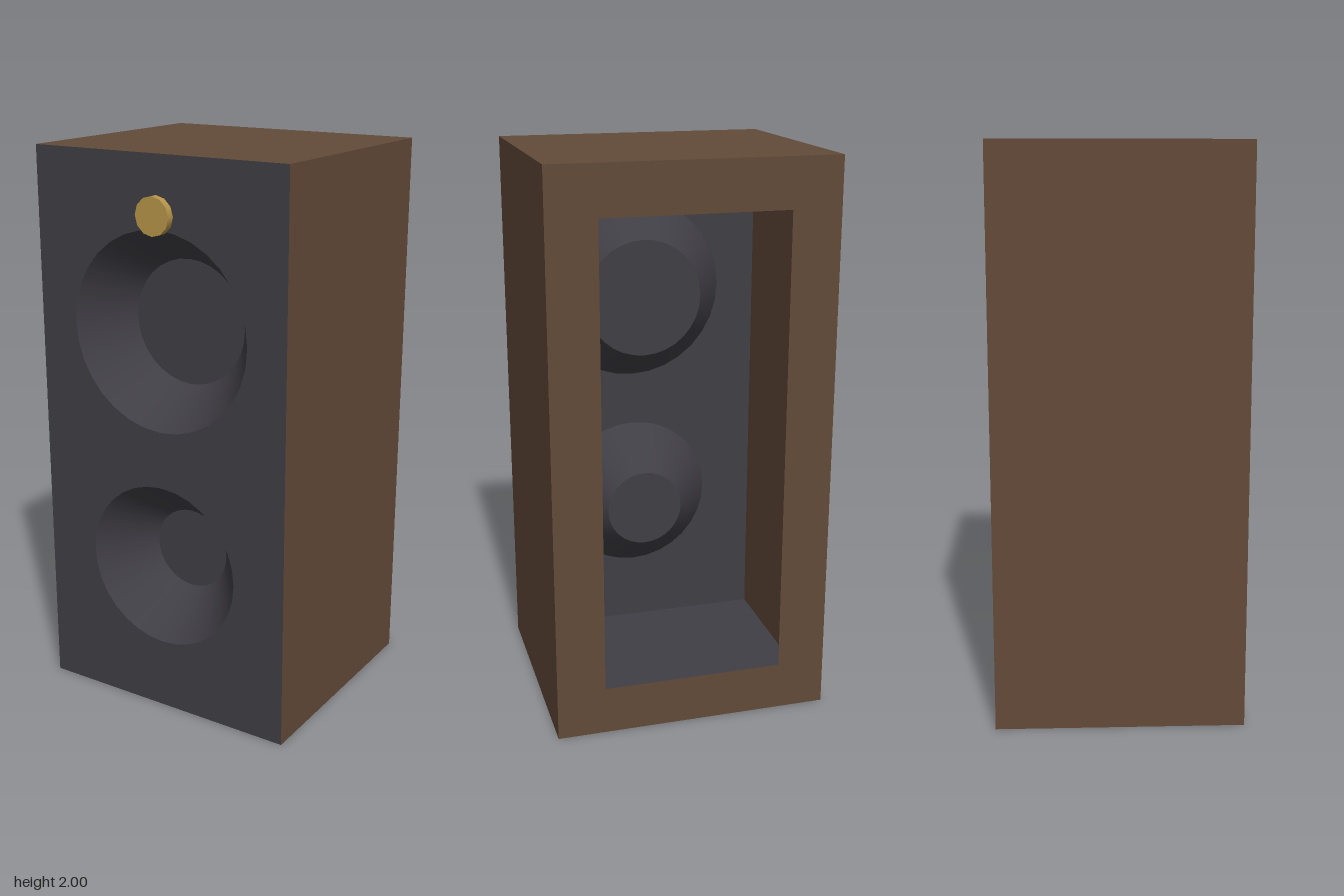
import * as THREE from 'three';

const W = 0.99, H = 2, BACK = -0.445, FRONT = 0.42;
const D = FRONT - BACK, MID = (FRONT + BACK) / 2;
const SEGMENTS = 32;

function makeMaterial(name, color) {
  const m = new THREE.MeshStandardMaterial({ color, side: THREE.DoubleSide });
  m.name = name;
  return m;
}

// Upright rectangle standing on y = 0, centred on x = 0
function panelShape() {
  return new THREE.Shape([
    new THREE.Vector2(-W / 2, 0), new THREE.Vector2(W / 2, 0),
    new THREE.Vector2(W / 2, H), new THREE.Vector2(-W / 2, H),
  ]);
}

export function createModel() {
  const group = new THREE.Group();
  group.name = 'speakerCabinet';
  const wood = makeMaterial('brown wood', 0x624a38);
  const dark = makeMaterial('dark grey', 0x403e45);
  const gold = makeMaterial('gold', 0xb8954a);

  const add = (name, geometry, material, x = 0, y = 0, z = 0) => {
    const mesh = new THREE.Mesh(geometry, material);
    mesh.name = name;
    mesh.position.set(x, y, z);
    group.add(mesh);
    return mesh;
  };

  // Thin cabinet walls
  add('leftWall', new THREE.PlaneGeometry(D, H).rotateY(Math.PI / 2), wood, W / 2, H / 2, MID);
  add('rightWall', new THREE.PlaneGeometry(D, H).rotateY(-Math.PI / 2), wood, -W / 2, H / 2, MID);
  add('topWall', new THREE.PlaneGeometry(W, D).rotateX(-Math.PI / 2), wood, 0, H, MID);
  add('bottomWall', new THREE.PlaneGeometry(W, D).rotateX(Math.PI / 2), dark, 0, 0, MID);

  // Flat frame round the open back
  const rim = 0.172;
  const frame = panelShape();
  frame.holes.push(new THREE.Path([
    new THREE.Vector2(-W / 2 + rim, rim), new THREE.Vector2(-W / 2 + rim, H - rim),
    new THREE.Vector2(W / 2 - rim, H - rim), new THREE.Vector2(W / 2 - rim, rim),
  ]));
  add('backFrame', new THREE.ShapeGeometry(frame).rotateY(Math.PI), wood, 0, 0, BACK);

  // Front panel with recessed cones
  const depth = 0.19;
  const front = panelShape();
  const drivers = [
    { name: 'upper', y: 1.406, outer: 0.348, inner: 0.222 },
    { name: 'lower', y: 0.556, outer: 0.298, inner: 0.148 },
  ];
  for (const { name, y, outer, inner } of drivers) {
    front.holes.push(new THREE.Path().absarc(0, y, outer, 0, Math.PI * 2, true));
    const cone = new THREE.CylinderGeometry(outer, inner, depth, SEGMENTS, 1, true).rotateX(Math.PI / 2);
    add(name + 'Cone', cone, dark, 0, y, FRONT - depth / 2);
    add(name + 'ConeCentre', new THREE.CircleGeometry(inner, SEGMENTS), dark, 0, y, FRONT - depth);
  }
  add('frontPanel', new THREE.ShapeGeometry(front, SEGMENTS / 2), dark, 0, 0, FRONT);

  // Small round knob above the upper cone
  const knob = new THREE.CylinderGeometry(0.066, 0.066, 0.027, 12).rotateX(Math.PI / 2);
  add('knob', knob, gold, 0, 1.802, FRONT + 0.0135);

  return group;
}
